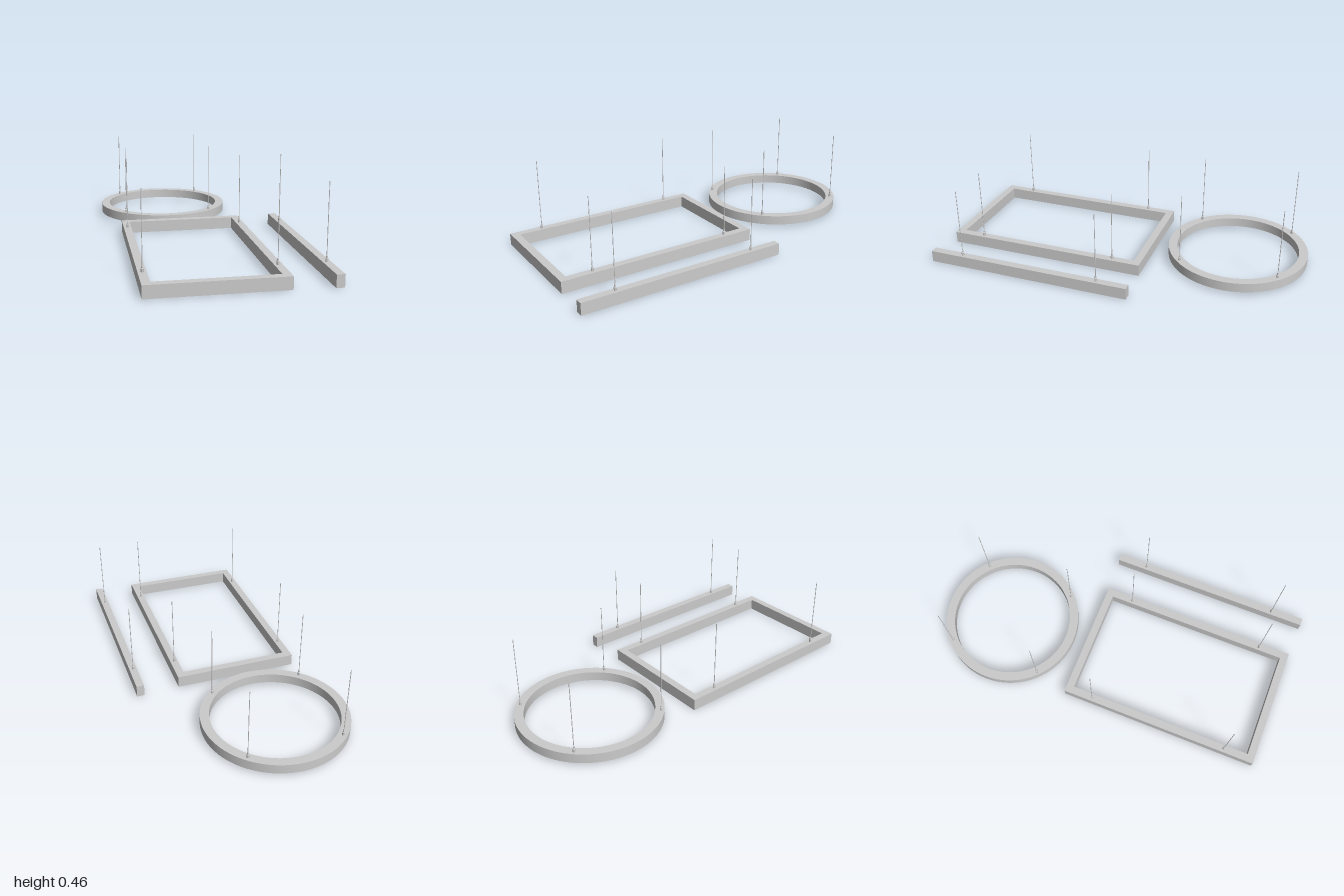
import * as THREE from 'three';
import { toCreasedNormals } from 'three/addons/utils/BufferGeometryUtils.js';

const TOP = 0.065;       // top face of all housings
const CABLE_TOP = 0.458; // upper end of the suspension cables
const PROFILE = 0.042;   // width of the straight housings

export function createModel() {
  const model = new THREE.Group();
  const material = new THREE.MeshStandardMaterial({ color: 0xcccccc });

  const add = (parent, name, geometry, x, y, z) => {
    const mesh = new THREE.Mesh(geometry, material);
    mesh.name = name;
    mesh.position.set(x, y, z);
    parent.add(mesh);
    return mesh;
  };
  const lamp = (name) => {
    const group = new THREE.Group();
    group.name = name;
    model.add(group);
    return group;
  };

  // Suspension: stepped cable gripper with a thin cable
  const v = (x, y) => new THREE.Vector2(x, y);
  const gripperGeometry = toCreasedNormals(new THREE.LatheGeometry([
    v(0, 0), v(0.007, 0), v(0.007, 0.017), v(0.0045, 0.021), v(0.0045, 0.029), v(0.002, 0.031), v(0, 0.031),
  ], 16), 0.5);
  const cableGeometry = new THREE.CylinderGeometry(0.002, 0.002, CABLE_TOP - TOP, 8);
  const suspend = (parent, xs, zs) => {
    for (const x of xs) for (const z of zs) {
      add(parent, 'cableGripper', gripperGeometry, x, TOP, z);
      add(parent, 'cable', cableGeometry, x, (TOP + CABLE_TOP) / 2, z);
    }
  };

  // Round lamp: ring housing with a diffuser set into its underside
  const round = lamp('roundLamp');
  const ro = 0.391, ri = 0.342, yb = 0.013, lip = 0.007, recess = 0.005;
  const ringProfile = [
    v(ro, yb), v(ro, TOP), v(ri, TOP), v(ri, yb),
    v(ri + lip, yb), v(ri + lip, yb + recess), v(ro - lip, yb + recess), v(ro - lip, yb), v(ro, yb),
  ];
  const ring = toCreasedNormals(new THREE.LatheGeometry(ringProfile, 96), 0.5);
  add(round, 'ringHousing', ring, -0.119, 0, -0.609);
  suspend(round, [-0.376, 0.134], [-0.876, -0.338]);

  // Rectangular lamp: one frame with an open middle
  const rectangular = lamp('rectangularLamp');
  const w = 0.687 / 2, d = 1.134 / 2;
  const rectangle = (path, a, b) => path.moveTo(-a, -b).lineTo(a, -b).lineTo(a, b).lineTo(-a, b).closePath();
  const outline = rectangle(new THREE.Shape(), w, d);
  outline.holes.push(rectangle(new THREE.Path(), w - PROFILE, d - PROFILE));
  const frame = new THREE.ExtrudeGeometry(outline, { depth: TOP, bevelEnabled: false });
  frame.rotateX(-Math.PI / 2);
  add(rectangular, 'frameHousing', frame, -0.0765, 0, 0.422);
  suspend(rectangular, [-0.398, 0.244], [0.017, 0.812]);

  // Linear lamp: a single straight bar
  const linear = lamp('linearLamp');
  add(linear, 'barHousing', new THREE.BoxGeometry(PROFILE, TOP, 1.157), 0.486, TOP / 2, 0.4215);
  suspend(linear, [0.485], [0.017, 0.812]);

  return model;
}
